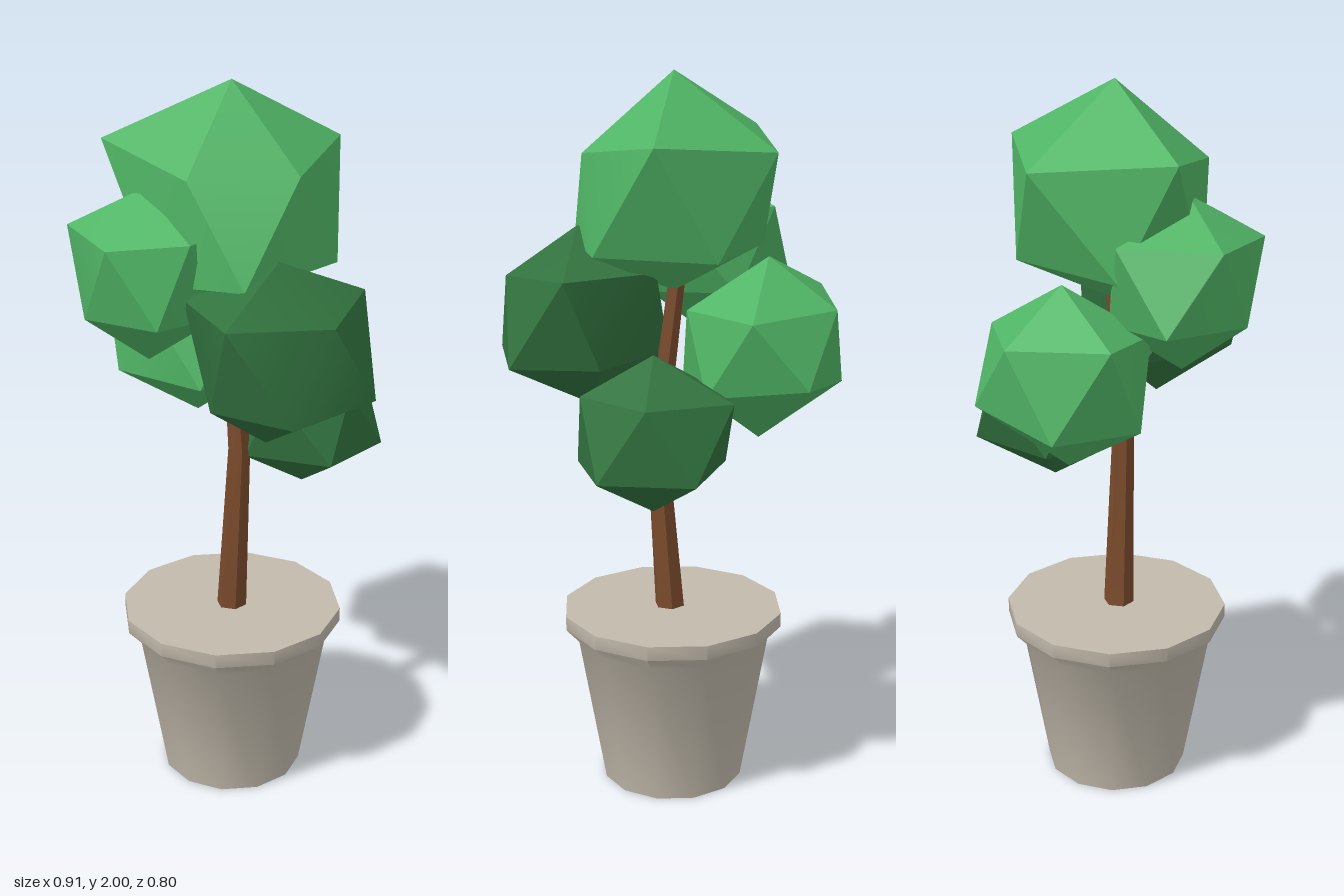
import * as THREE from 'three';
import { toCreasedNormals } from 'three/addons/utils/BufferGeometryUtils.js';
import { ConvexGeometry } from 'three/addons/geometries/ConvexGeometry.js';

function material(name, color) {
  const m = new THREE.MeshStandardMaterial({ color });
  m.name = name;
  return m;
}

// Faceted leaf clump: two apexes and two staggered five-point rings
function leafGeometry({ apexes, upper, lower }) {
  const points = [...apexes, ...upper, ...lower].map((p) => new THREE.Vector3(...p));
  return toCreasedNormals(new ConvexGeometry(points), 0.5);
}

const CLUMPS = {
  topLeaves: {
    tone: 'light',
    apexes: [[0, 2, 0], [0, 1.42, 0]],
    upper: [[-0.27, 1.84, 0.21], [0.08, 1.79, 0.235], [0.245, 1.79, 0], [0.105, 1.83, -0.3], [-0.24, 1.8, -0.175]],
    lower: [[0.245, 1.53, 0.195], [0.24, 1.54, -0.15], [-0.07, 1.53, -0.25], [-0.26, 1.53, 0.06], [-0.03, 1.5, 0.24]],
  },
  frontLeaves: {
    tone: 'light',
    apexes: [[-0.11, 1.735, 0.21], [-0.11, 1.27, 0.2]],
    upper: [[-0.28, 1.63, 0.325], [-0.04, 1.62, 0.4], [0.12, 1.64, 0.26], [0, 1.6, 0], [-0.29, 1.63, 0.06]],
    lower: [[-0.365, 1.43, 0.2], [-0.16, 1.41, 0.375], [0.07, 1.42, 0.33], [0.05, 1.4, 0.09], [-0.18, 1.4, 0.02]],
  },
  rightLeaves: {
    tone: 'light',
    apexes: [[-0.24, 1.52, -0.09], [-0.22, 1.02, -0.08]],
    upper: [[-0.43, 1.41, 0.075], [-0.4, 1.39, -0.2], [-0.15, 1.38, -0.3], [-0.02, 1.38, -0.08], [-0.18, 1.38, 0.13]],
    lower: [[-0.455, 1.165, -0.07], [-0.32, 1.165, 0.13], [-0.04, 1.165, 0.08], [-0.05, 1.165, -0.2], [-0.3, 1.2, -0.31]],
  },
  leftLeaves: {
    tone: 'dark',
    apexes: [[0.25, 1.59, 0.08], [0.21, 1.09, 0.08]],
    upper: [[0.32, 1.48, 0.335], [0.445, 1.46, 0.08], [0.32, 1.48, -0.17], [0.06, 1.48, -0.07], [0.06, 1.48, 0.23]],
    lower: [[0.45, 1.235, 0.23], [0.455, 1.235, -0.07], [0.22, 1.235, -0.13], [0, 1.235, 0.08], [0.22, 1.235, 0.29]],
  },
  backLeaves: {
    tone: 'dark',
    apexes: [[0.09, 1.29, -0.2], [0.09, 0.86, -0.19]],
    upper: [[-0.1, 1.18, -0.32], [0.14, 1.185, -0.375], [0.28, 1.18, -0.17], [0.16, 1.18, -0.01], [-0.07, 1.18, -0.08]],
    lower: [[0.015, 0.985, -0.4], [-0.11, 0.985, -0.17], [0.06, 0.985, 0.01], [0.28, 0.985, -0.1], [0.26, 0.985, -0.33]],
  },
};

// Six-sided trunk bent through [x, y, z, radius] rows, top to bottom
function trunkGeometry() {
  const rows = [[-0.02, 1.55, 0, 0.022], [0.045, 1.0, 0.015, 0.031], [0.01, 0.5, 0.01, 0.043]];
  const geometry = new THREE.CylinderGeometry(1, 1, 2, 6, rows.length - 1);
  const pos = geometry.attributes.position;
  for (let i = 0; i < pos.count; i++) {
    const [x, y, z, r] = rows[Math.round(1 - pos.getY(i))];
    pos.setXYZ(i, x + pos.getX(i) * r, y, z + pos.getZ(i) * r);
  }
  return toCreasedNormals(geometry, 0.5);
}

// Tapered pot with a flared rim and flat top
function potGeometry() {
  const profile = [[0, 0], [0.2, 0], [0.275, 0.43], [0.312, 0.47], [0.312, 0.51], [0, 0.51]];
  const geometry = new THREE.LatheGeometry(profile.map(([r, y]) => new THREE.Vector2(r, y)), 12);
  return toCreasedNormals(geometry, 0.8);
}

export function createModel() {
  const model = new THREE.Group();
  model.name = 'pottedTree';
  const leaves = {
    light: material('light leaf green', 0x50b565),
    dark: material('dark leaf green', 0x32733f),
  };
  const add = (name, geometry, mat) => {
    const mesh = new THREE.Mesh(geometry, mat);
    mesh.name = name;
    model.add(mesh);
    return mesh;
  };

  const pot = add('pot', potGeometry(), material('pot grey', 0xc2baac));
  pot.position.set(0.004, 0, 0.004);
  pot.rotation.y = Math.PI / 24;

  add('trunk', trunkGeometry(), material('bark brown', 0x7a4b2c));

  for (const [name, clump] of Object.entries(CLUMPS)) {
    add(name, leafGeometry(clump), leaves[clump.tone]);
  }
  return model;
}
